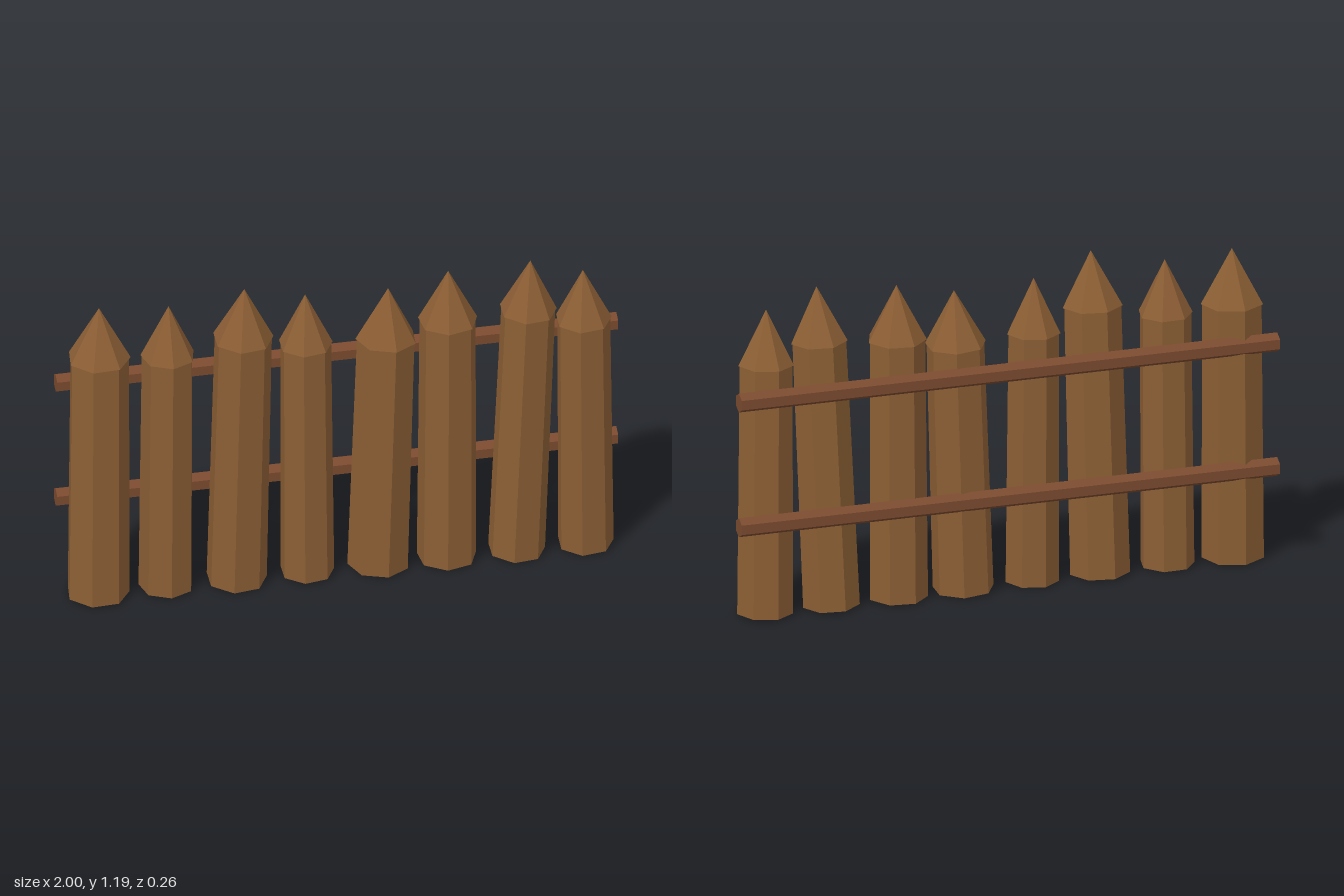
import * as THREE from 'three';

const UP = new THREE.Vector3(0, 1, 0);
const stakeMat = new THREE.MeshStandardMaterial({ color: 0x8b5e34, flatShading: true });
const railMat = new THREE.MeshStandardMaterial({ color: 0x7a4a2e, flatShading: true });

// Stakes: base x, tip x, tip z, tip y, radius, turn in degrees
const STAKES = [
  [-0.87, -0.863, -0.01, 1.155, 0.112, -21],
  [-0.625, -0.617, 0.0, 1.14, 0.097, 0],
  [-0.375, -0.353, 0.03, 1.195, 0.108, -15],
  [-0.123, -0.13, 0.0, 1.13, 0.096, -15],
  [0.131, 0.166, 0.0, 1.12, 0.109, 8],
  [0.375, 0.38, 0.0, 1.165, 0.106, -9],
  [0.623, 0.668, 0.025, 1.187, 0.102, -15],
  [0.869, 0.856, 0.022, 1.125, 0.1, -17],
];
const BASE_Y = 0.013;
const TIP_HEIGHT = 0.2;

// Leaning seven-sided post with a slightly overhanging pointed cap
function makeStake([baseX, tipX, tipZ, tipY, radius, turn]) {
  const stake = new THREE.Group();
  stake.name = 'stake';
  const base = new THREE.Vector3(baseX, BASE_Y, 0);
  const axis = new THREE.Vector3(tipX, tipY, tipZ).sub(base);
  const shaftHeight = axis.length() - TIP_HEIGHT;

  const shaft = new THREE.Mesh(
    new THREE.CylinderGeometry(radius * 0.95, radius, shaftHeight, 7), stakeMat);
  shaft.name = 'shaft';
  shaft.position.y = shaftHeight / 2;

  const point = new THREE.Mesh(new THREE.ConeGeometry(radius, TIP_HEIGHT, 7), stakeMat);
  point.name = 'point';
  point.position.y = shaftHeight + TIP_HEIGHT / 2;

  shaft.rotation.y = point.rotation.y = THREE.MathUtils.degToRad(turn);
  stake.add(shaft, point);
  stake.position.copy(base);
  stake.quaternion.setFromUnitVectors(UP, axis.normalize());
  return stake;
}

// Hexagonal rail behind the stakes, rising slightly to one side
function makeRail(name, y) {
  const geometry = new THREE.CylinderGeometry(0.035, 0.035, 2, 6);
  geometry.rotateY(Math.PI / 2).rotateZ(-Math.PI / 2);
  const rail = new THREE.Mesh(geometry, railMat);
  rail.name = name;
  rail.position.set(0, y, -0.096);
  rail.rotation.z = 0.0075;
  return rail;
}

export function createModel() {
  const fence = new THREE.Group();
  fence.name = 'palisadeFence';
  STAKES.forEach((spec) => fence.add(makeStake(spec)));
  fence.add(makeRail('upperRail', 0.827), makeRail('lowerRail', 0.365));
  return fence;
}
